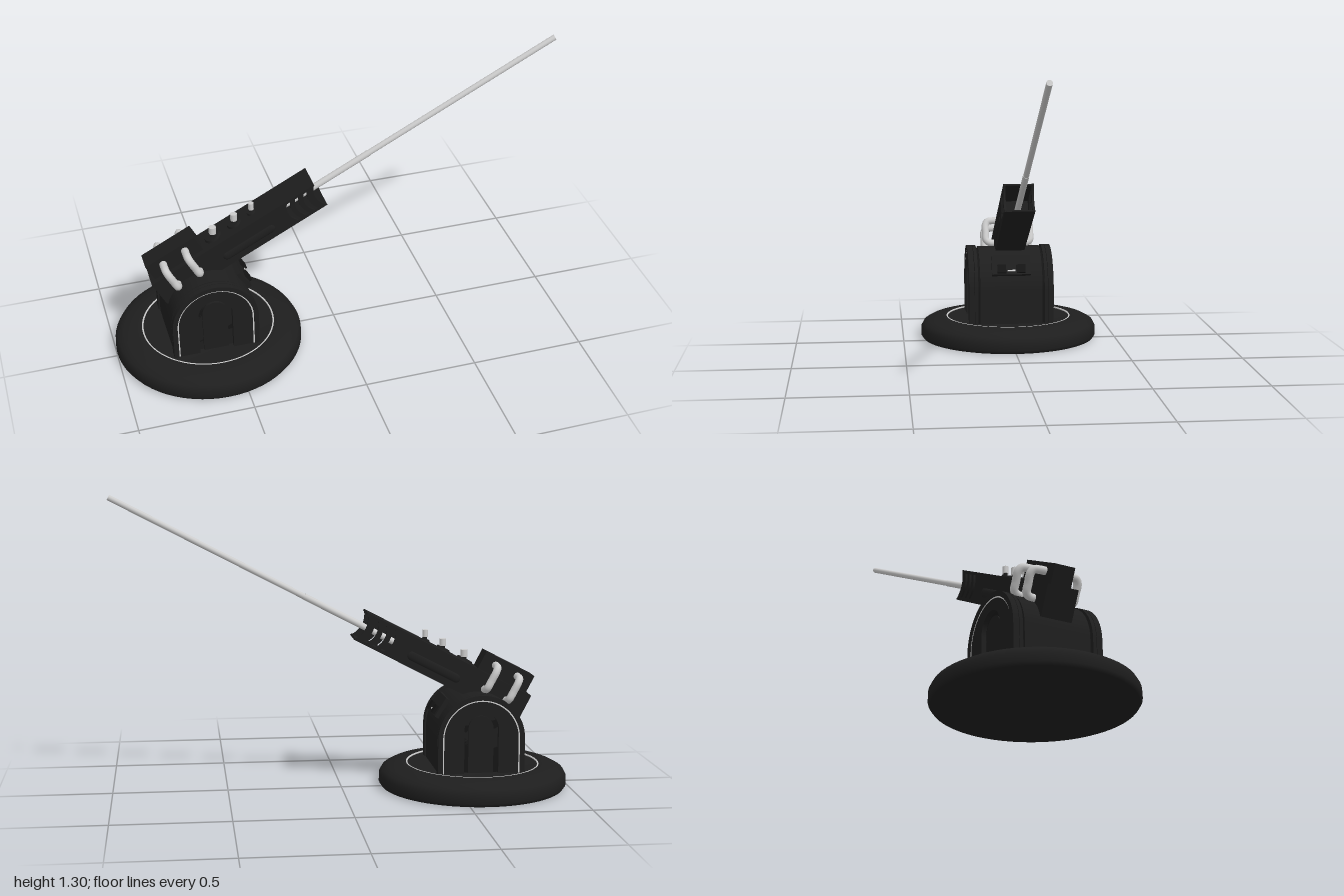
import * as THREE from 'three';

const dark = new THREE.MeshStandardMaterial({ color: 0x1e1e1e, side: THREE.DoubleSide });
const black = new THREE.MeshStandardMaterial({ color: 0x151515 });
const metal = new THREE.MeshStandardMaterial({ color: 0xcccccc });

const CX = -0.585; // turret axis
const TILT = 0.482; // gun elevation

function add(parent, name, geometry, material, x = 0, y = 0, z = 0) {
  const mesh = new THREE.Mesh(geometry, material);
  mesh.name = name;
  mesh.position.set(x, y, z);
  parent.add(mesh);
  return mesh;
}

// Round-topped outline standing on y0, with its arc centred at height cy
function arch(r, cy, y0, Type = THREE.Shape) {
  const s = new Type();
  s.moveTo(-r, y0);
  s.lineTo(r, y0);
  s.lineTo(r, cy);
  s.absarc(0, cy, r, 0, Math.PI, false);
  s.lineTo(-r, y0);
  return s;
}

function extrude(shape, depth, hole) {
  if (hole) shape.holes.push(hole);
  return new THREE.ExtrudeGeometry(shape, { depth, bevelEnabled: false, curveSegments: 24 });
}

function buildBase() {
  const g = new THREE.Group();
  g.name = 'base';
  g.position.x = CX;
  const rim = [[0, 0], [0.405, 0], [0.415, 0.015], [0.414, 0.05], [0.402, 0.072], [0.375, 0.087],
    [0.335, 0.096], [0.295, 0.1], [0.29, 0.092], [0, 0.092]].map(p => new THREE.Vector2(...p));
  add(g, 'basePlate', new THREE.LatheGeometry(rim, 64), dark);
  const ring = add(g, 'baseTrimRing', new THREE.TorusGeometry(0.291, 0.004, 6, 64), metal, 0, 0.097);
  ring.rotation.x = Math.PI / 2;
  return g;
}

function buildHousing() {
  const g = new THREE.Group();
  g.name = 'housing';
  g.position.x = CX - 0.002;
  const cy = 0.245, y0 = 0.09;
  add(g, 'housingCore', extrude(arch(0.185, cy, y0), 0.29), dark, 0, 0, -0.145);
  add(g, 'housingGroove', extrude(arch(0.174, cy, y0), 0.34), black, 0, 0, -0.17);
  for (const side of [1, -1]) {
    const cheek = new THREE.Group();
    cheek.name = 'cheek';
    cheek.rotation.y = side > 0 ? 0 : Math.PI;
    g.add(cheek);
    add(cheek, 'cheekFlange', extrude(arch(0.19, cy, y0), 0.015), dark, 0, 0, 0.155);
    add(cheek, 'cheekFrame', extrude(arch(0.19, cy, y0), 0.025, arch(0.169, cy, y0 + 0.001, THREE.Path)), dark, 0, 0, 0.172);
    add(cheek, 'cheekTrim', extrude(arch(0.169, cy, y0), 0.021, arch(0.163, cy, y0 + 0.001, THREE.Path)), metal, 0, 0, 0.172);
    add(cheek, 'cheekPanel', extrude(arch(0.163, cy, y0), 0.021, arch(0.075, 0.288, y0 + 0.001, THREE.Path)), dark, 0, 0, 0.172);
    add(cheek, 'doorPanel', extrude(arch(0.055, 0.288, y0), 0.012), dark, 0, 0, 0.168);
  }
  // Hatch under the gun
  const hatch = new THREE.Group();
  hatch.name = 'hatch';
  hatch.position.set(0.155, 0.362, 0);
  hatch.rotation.z = 0.55;
  g.add(hatch);
  add(hatch, 'hatchPlate', new THREE.BoxGeometry(0.02, 0.095, 0.18), dark);
  for (const z of [-0.045, 0.045]) add(hatch, 'hatchBlock', new THREE.BoxGeometry(0.02, 0.04, 0.04), black, 0.012, -0.022, z);
  add(hatch, 'hatchHandle', new THREE.BoxGeometry(0.006, 0.006, 0.035), metal, 0.014, -0.03, 0);
  return g;
}

// Side of the vented muzzle: hollowed end and three bowed slots
function muzzleSide() {
  const s = new THREE.Shape();
  s.moveTo(0.38, -0.065);
  s.lineTo(0.58, -0.065);
  s.quadraticCurveTo(0.53, 0, 0.58, 0.065);
  s.lineTo(0.38, 0.065);
  s.closePath();
  for (const u of [0.425, 0.467, 0.509]) {
    const p = new THREE.Path();
    p.moveTo(u + 0.012, -0.052);
    p.quadraticCurveTo(u - 0.024, 0, u + 0.012, 0.052);
    p.lineTo(u + 0.03, 0.052);
    p.quadraticCurveTo(u - 0.002, 0, u + 0.03, -0.052);
    p.closePath();
    s.holes.push(p);
  }
  return s;
}

function buildGun() {
  const g = new THREE.Group();
  g.name = 'gun';
  g.position.set(-0.59, 0.458, -0.004);
  g.rotation.z = TILT;

  add(g, 'receiver', new THREE.BoxGeometry(0.618, 0.13, 0.136), dark, 0.071, 0, 0);
  add(g, 'breechBox', new THREE.BoxGeometry(0.244, 0.086, 0.09), dark, -0.094, 0.104, 0);

  // Vented muzzle shroud
  for (const z of [-0.068, 0.058]) add(g, 'muzzleSide', extrude(muzzleSide(), 0.01), dark, 0, 0, z);
  for (const y of [-0.061, 0.061]) add(g, 'muzzleCover', new THREE.BoxGeometry(0.2, 0.008, 0.134), dark, 0.479, y, 0);

  // Barrel: thick root, slightly slimmer front
  const root = add(g, 'barrelRoot', new THREE.CylinderGeometry(0.014, 0.014, 0.48, 16), metal, 0.61, 0, -0.006);
  const tip = add(g, 'barrel', new THREE.CylinderGeometry(0.0125, 0.0125, 0.94, 16), metal, 1.313, 0, -0.006);
  root.rotation.z = tip.rotation.z = -Math.PI / 2;

  for (const side of [1, -1]) {
    // Rounded strip along the receiver flank
    const strip = add(g, 'sideStrip', new THREE.CapsuleGeometry(0.02, 0.22, 6, 16), dark, 0.21, -0.015, side * 0.066);
    strip.rotation.z = Math.PI / 2;
    strip.scale.z = 0.4;
    // Pipes from the receiver flank into the breech box
    for (const u of [-0.147, -0.037]) {
      const pts = [[0, 0.05], [0, 0.085], [0.014, 0.104], [0.05, 0.106], [0.09, 0.106], [0.108, 0.095], [0.112, 0.07], [0.112, 0.03]]
        .map(([n, z]) => new THREE.Vector3(u, n, side * z));
      add(g, 'pipe', new THREE.TubeGeometry(new THREE.CatmullRomCurve3(pts), 40, 0.017, 12), metal);
    }
  }

  // Upright knobs along the top, shrinking toward the muzzle
  for (const [u, r] of [[0.088, 0.04], [0.196, 0.034], [0.284, 0.02]]) {
    const knob = new THREE.Group();
    knob.name = 'knob';
    knob.position.set(u, 0.065, 0);
    g.add(knob);
    add(knob, 'knobFlange', new THREE.CylinderGeometry(r * 0.85, r, 0.012, 24), dark, 0, 0.004, 0);
    const post = new THREE.Group();
    post.name = 'knobPost';
    post.rotation.z = -TILT;
    knob.add(post);
    const w = 0.008 + r * 0.2;
    add(post, 'knobStem', new THREE.CylinderGeometry(w * 0.75, w * 0.75, 0.03, 16), dark, 0, 0.01, 0);
    add(post, 'knobCap', new THREE.CylinderGeometry(w, w, 0.032, 16), metal, 0, 0.034, 0);
  }
  return g;
}

export function createModel() {
  const model = new THREE.Group();
  model.name = 'turret';
  model.add(buildBase(), buildHousing(), buildGun());
  return model;
}
